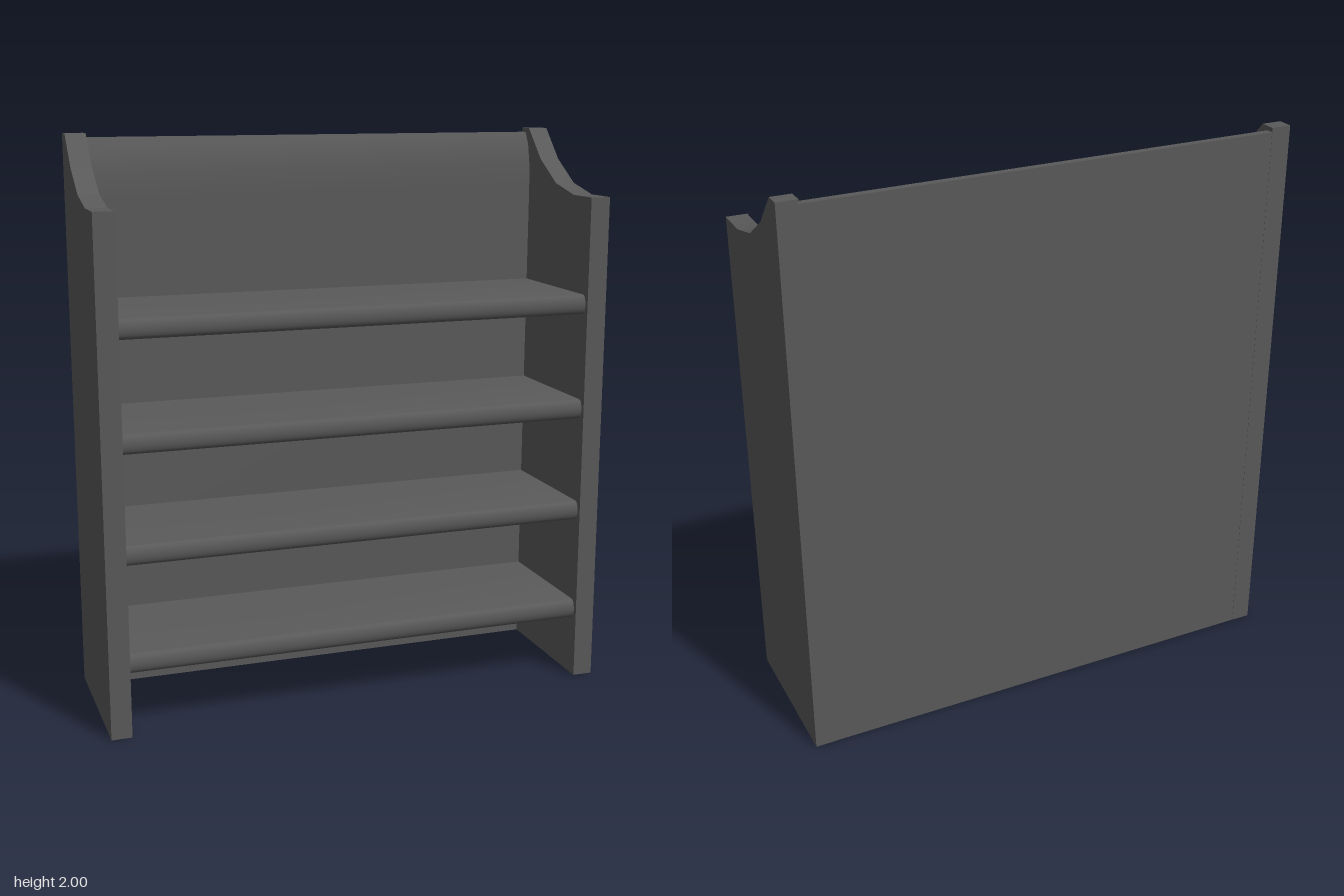
import * as THREE from 'three';
import { toCreasedNormals } from 'three/addons/utils/BufferGeometryUtils.js';

const material = new THREE.MeshStandardMaterial({ color: 0x595959, side: THREE.DoubleSide });
const INNER = 0.835; // half width between the side panels
const OUTER = 0.907;
const DEPTH = 0.283; // half depth

// Drops the triangles lying on the ground: the boards are open underneath
function openBottom(geometry) {
  const position = geometry.getAttribute('position');
  const kept = [];
  for (let i = 0; i < position.count; i += 3) {
    const top = Math.max(position.getY(i), position.getY(i + 1), position.getY(i + 2));
    if (top > 1e-6) kept.push(i, i + 1, i + 2);
  }
  geometry.setIndex(kept);
  return geometry;
}

// Extrudes a [z, y] profile along x from x0 to x1
function board(name, profile, x0, x1, crease) {
  const shape = new THREE.Shape(profile.map(([z, y]) => new THREE.Vector2(-z, y)));
  const geometry = new THREE.ExtrudeGeometry(shape, { depth: x1 - x0, bevelEnabled: false });
  geometry.rotateY(Math.PI / 2);
  geometry.translate(x0, 0, 0);
  const mesh = new THREE.Mesh(openBottom(toCreasedNormals(geometry, crease)), material);
  mesh.name = name;
  return mesh;
}

export function createModel() {
  const group = new THREE.Group();
  group.name = 'bookcase';

  // Side panels scooped at the top: the left shaded smooth, the right faceted
  const side = [
    [DEPTH, 0], [DEPTH, 1.778], [0.15, 1.778], [0.01, 1.81],
    [-0.12, 1.89], [-0.226, 2], [-DEPTH, 2], [-DEPTH, 0],
  ];
  group.add(board('leftSide', side, INNER, OUTER, 0.5));
  group.add(board('rightSide', side, -OUTER, -INNER, 0.1));

  // Back panel, its front face easing backwards near the top
  const back = [
    [-0.21, 0], [-0.21, 1.78], [-0.215, 1.87], [-0.23, 1.94],
    [-0.255, 1.985], [-0.282, 1.985], [-0.282, 0],
  ];
  group.add(board('backPanel', back, -INNER, INNER, 0.6));

  // Shelves with a rounded front edge
  const thickness = 0.07, nose = 0.02, front = 0.267;
  for (let i = 0; i < 4; i++) {
    const middle = 0.255 + i * 0.381;
    const profile = [[-0.215, middle - thickness / 2]];
    for (let k = 0; k <= 10; k++) {
      const a = -Math.PI / 2 + (k / 10) * Math.PI;
      profile.push([front - nose + nose * Math.cos(a), middle + (thickness / 2) * Math.sin(a)]);
    }
    profile.push([-0.215, middle + thickness / 2]);
    group.add(board('shelf' + (i + 1), profile, -INNER, INNER, 0.7));
  }
  return group;
}
